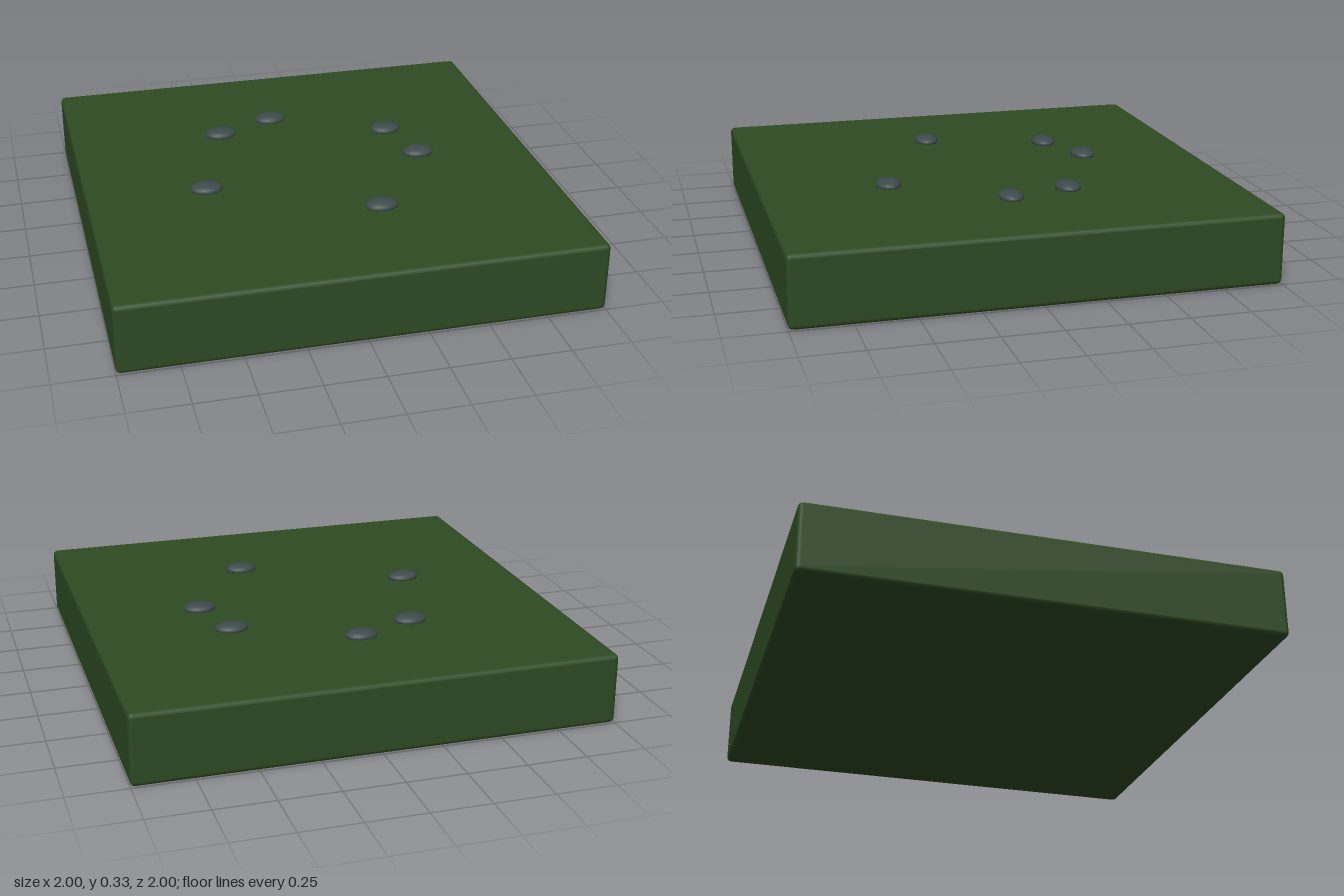
import * as THREE from 'three';
import { RoundedBoxGeometry } from 'three/addons/geometries/RoundedBoxGeometry.js';

const grass = new THREE.MeshStandardMaterial({ name: 'mossGreen', color: 0x2d4a22 });
const stone = new THREE.MeshStandardMaterial({ name: 'slateGrey', color: 0x3d4a4a });

// Pebble centres on the tile top: [x, z]
const PEBBLES = [
  [0.5, 0], [0.2, 0.455], [-0.485, 0.135],
  [-0.325, -0.39], [-0.07, -0.5], [0.425, -0.27],
];

export function createModel() {
  const model = new THREE.Group();
  model.name = 'groundTile';

  // Square slab with softened edges
  const slab = new THREE.Mesh(new RoundedBoxGeometry(2, 0.3, 2, 2, 0.02), grass);
  slab.name = 'slab';
  slab.position.y = 0.15;
  model.add(slab);

  // Flattened pebbles half sunk into the surface
  const pebbleGeometry = new THREE.SphereGeometry(1, 20, 14).scale(0.07, 0.026, 0.053);
  const pebbles = new THREE.Group();
  pebbles.name = 'pebbles';
  PEBBLES.forEach(([x, z], i) => {
    const pebble = new THREE.Mesh(pebbleGeometry, stone);
    pebble.name = `pebble${i + 1}`;
    pebble.position.set(x, 0.306, z);
    pebbles.add(pebble);
  });
  model.add(pebbles);

  return model;
}
